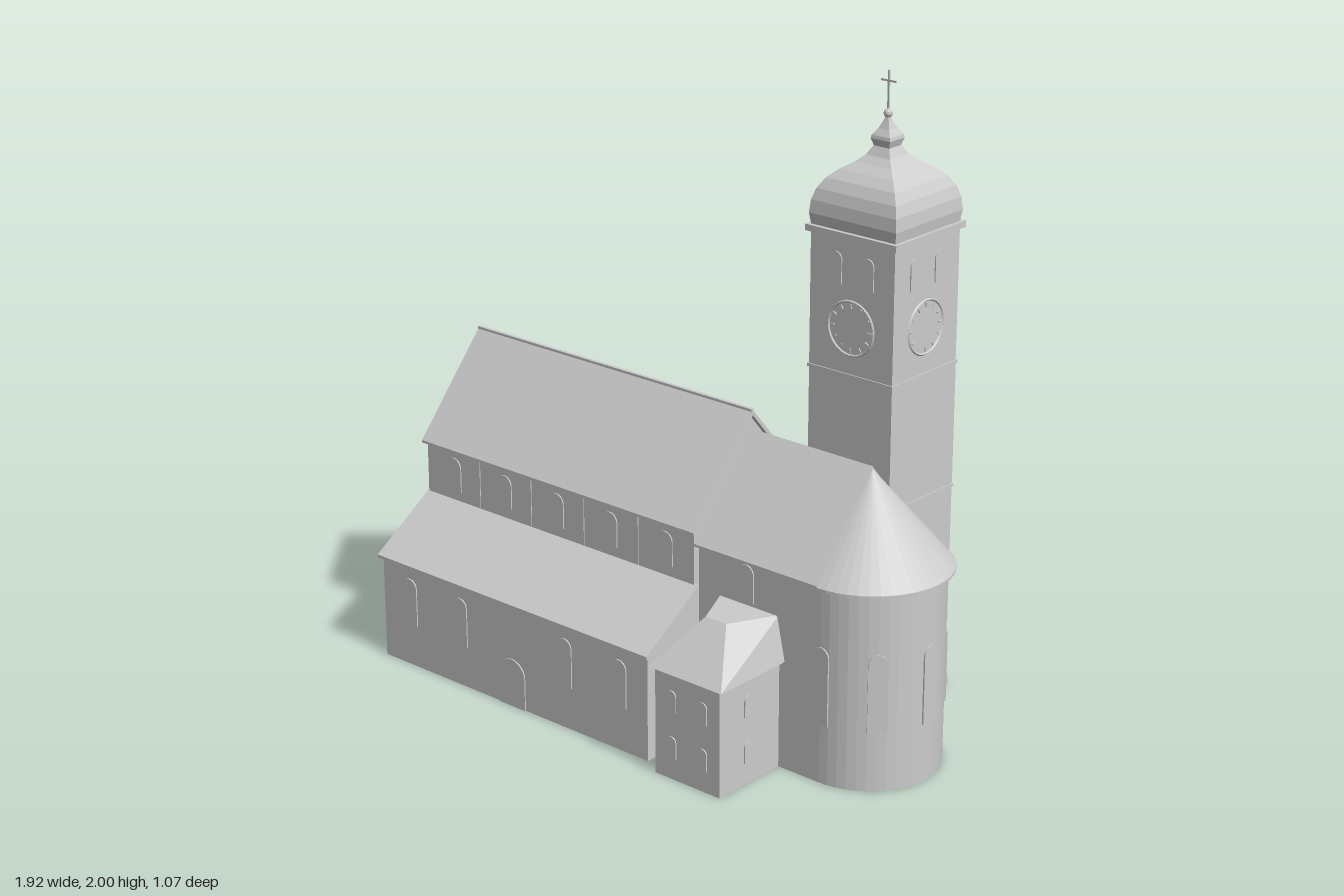
import * as THREE from 'three';

const CZ = 0.02; // z of the church axis
const stone = new THREE.MeshStandardMaterial({ color: 0xcccccc, flatShading: true });
stone.name = 'pale grey';

export function createModel() {
  const root = new THREE.Group();
  root.name = 'church';

  const add = (name, geo, x = 0, y = 0, z = 0, parent = root) => {
    const m = new THREE.Mesh(geo, stone);
    m.name = name;
    m.position.set(x, y, z);
    parent.add(m);
    return m;
  };
  // box given by its centre in x and z and its bottom
  const box = (name, w, h, d, x, y, z, parent) =>
    add(name, new THREE.BoxGeometry(w, h, d), x, y + h / 2, z, parent);
  // cross-section of [z from axis, y] pairs extruded from x0 to x1
  const prism = (name, pts, x0, x1) => {
    const shape = new THREE.Shape(pts.map(([z, y]) => new THREE.Vector2(-z, y)));
    const g = new THREE.ExtrudeGeometry(shape, { depth: x1 - x0, bevelEnabled: false });
    return add(name, g.rotateY(Math.PI / 2), x0, 0, CZ);
  };
  const archShape = (w, h) => {
    const s = new THREE.Shape();
    s.moveTo(-w / 2, 0);
    s.lineTo(w / 2, 0);
    s.lineTo(w / 2, h - w / 2);
    s.absarc(0, h - w / 2, w / 2, 0, Math.PI, false);
    s.closePath();
    return s;
  };
  // thin round-headed plate facing the direction turn (0 = +z)
  const arch = (name, w, h, x, y, z, turn = 0, parent = root) => {
    const g = new THREE.ExtrudeGeometry(archShape(w, h), { depth: 0.008, bevelEnabled: false, curveSegments: 8 });
    const m = add(name, g.translate(0, 0, -0.004), x, y, z, parent);
    m.rotation.y = turn;
    return m;
  };
  const gableRoof = (name, half, eave, ridge, x0, x1, t = 0.018) => prism(name, [
    [-half, eave], [-half, eave - 0.008], [-half + 0.008, eave - 0.008], [0, ridge - t],
    [half - 0.008, eave - 0.008], [half, eave - 0.008], [half, eave], [0, ridge],
  ], x0, x1);

  // nave with gables and lower side aisles
  prism('naveAndAisleWalls', [
    [-0.46, 0], [0.46, 0], [0.46, 0.35], [0.25, 0.495], [0.25, 0.68], [0, 0.985],
    [-0.25, 0.68], [-0.25, 0.495], [-0.46, 0.35],
  ], -0.9, 0.235);
  gableRoof('naveRoof', 0.27, 0.685, 1.0, -0.905, 0.25);
  box('naveRidge', 1.155, 0.008, 0.012, -0.3275, 0.994, CZ);
  for (const s of [-1, 1]) {
    const pts = [[0.245, 0.51], [0.48, 0.355], [0.48, 0.345], [0.465, 0.345], [0.245, 0.49]];
    prism('aisleRoof', pts.map(([z, y]) => [s * z, y]), -0.905, 0.25);
    const turn = s > 0 ? 0 : Math.PI;
    for (let i = 0; i < 5; i++) {
      const x = -0.78 + i * 0.225;
      arch('clerestoryWindow', 0.06, 0.11, x, 0.54, CZ + s * 0.25, turn);
      if (s < 0 || i !== 2) arch('aisleWindow', 0.06, 0.16, x, 0.14, CZ + s * 0.46, turn);
      if (i < 4) box('clerestoryPilaster', 0.008, 0.17, 0.006, x + 0.1125, 0.51, CZ + s * 0.25);
    }
  }
  arch('sideDoor', 0.11, 0.16, -0.33, 0, CZ + 0.46, 0);

  // west front
  const west = -Math.PI / 2;
  arch('westDoor', 0.11, 0.19, -0.9, 0.012, CZ, west);
  for (const s of [-1, 1]) arch('westWindow', 0.06, 0.26, -0.9, 0.34, CZ + s * 0.13, west);
  arch('gableWindow', 0.05, 0.1, -0.9, 0.78, CZ, west);
  box('doorStep', 0.065, 0.01, 0.15, -0.9325, 0, CZ - 0.005);

  // choir and rounded apse
  prism('choirWalls', [[-0.228, 0], [0.228, 0], [0.228, 0.645], [0, 0.92], [-0.228, 0.645]], 0.235, 0.705);
  gableRoof('choirRoof', 0.25, 0.64, 0.938, 0.235, 0.705);
  add('apseWall', new THREE.CylinderGeometry(0.228, 0.228, 0.635, 24, 1, false, 0, Math.PI), 0.705, 0.3175, CZ);
  add('apseRoof', new THREE.CylinderGeometry(0, 0.252, 0.295, 24, 1, false, 0, Math.PI), 0.705, 0.7825, CZ);
  add('apseEave', new THREE.CylinderGeometry(0.252, 0.252, 0.008, 24, 1, false, 0, Math.PI), 0.705, 0.633, CZ);
  for (const a of [-90, -45, 0, 45, 90]) {
    const r = a * Math.PI / 180;
    arch('apseWindow', 0.06, 0.25, 0.705 + 0.227 * Math.cos(r), 0.19, CZ + 0.227 * Math.sin(r), Math.PI / 2 - r);
  }
  arch('choirWindow', 0.06, 0.12, 0.42, 0.5, CZ + 0.228);

  // small sacristy with a hipped, flat-topped roof
  box('sacristyWalls', 0.25, 0.35, 0.29, 0.425, 0, 0.373);
  const c = [
    [0.285, 0.35, 0.24], [0.285, 0.35, 0.535], [0.57, 0.35, 0.535], [0.57, 0.35, 0.24],
    [0.315, 0.49, 0.24], [0.385, 0.49, 0.39], [0.465, 0.49, 0.39], [0.54, 0.49, 0.24],
  ];
  const roof = new THREE.BufferGeometry();
  roof.setAttribute('position', new THREE.Float32BufferAttribute(c.flat(), 3));
  roof.setIndex([1, 2, 6, 1, 6, 5, 2, 3, 7, 2, 7, 6, 0, 1, 5, 0, 5, 4, 4, 5, 6, 4, 6, 7, 0, 3, 2, 0, 2, 1, 0, 4, 7, 0, 7, 3]);
  roof.computeVertexNormals();
  add('sacristyRoof', roof);
  for (const y of [0.07, 0.22]) {
    for (const s of [-1, 1]) {
      arch('sacristyWindow', 0.035, 0.07, 0.425 + s * 0.06, y, 0.518);
      arch('sacristyWindow', 0.035, 0.07, 0.425 + s * 0.125, y, 0.39, s * Math.PI / 2);
    }
  }

  // bell tower
  const tower = new THREE.Group();
  tower.name = 'tower';
  tower.position.set(0.438, 0, -0.365);
  root.add(tower);
  const square = (name, half, y0, y1) => box(name, half * 2, y1 - y0, half * 2, 0, y0, 0, tower);
  square('towerShaft', 0.158, 0, 1.53);
  square('towerPlinth', 0.163, 0, 0.04);
  square('lowerStringCourse', 0.162, 0.68, 0.69);
  square('upperStringCourse', 0.162, 1.085, 1.095);
  square('cornice', 0.171, 1.515, 1.535);
  for (let i = 0; i < 4; i++) {
    const face = new THREE.Group();
    face.name = 'towerFace';
    face.rotation.y = i * Math.PI / 2;
    tower.add(face);
    for (const s of [-1, 1]) arch('belfryWindow', 0.045, 0.1, s * 0.06, 1.37, 0.158, 0, face);
    add('clockRing', new THREE.TorusGeometry(0.085, 0.004, 4, 32), 0, 1.24, 0.158, face);
    for (let k = 0; k < 12; k++) {
      const a = k * Math.PI / 6;
      const tick = add('clockMark', new THREE.BoxGeometry(0.005, 0.014, 0.008),
        0.07 * Math.sin(a), 1.24 + 0.07 * Math.cos(a), 0.158, face);
      tick.rotation.z = -a;
    }
    if (i === 2) {
      for (const s of [-1, 1]) box('panelEdge', 0.02, 0.39, 0.008, s * 0.146, 0.692, 0.158, face);
      for (let k = 0; k < 9; k++) box('friezeTooth', 0.014, 0.02, 0.008, -0.112 + k * 0.028, 1.06, 0.158, face);
    }
    if (i === 1 || i === 2) {
      for (const y of [0.27, 0.47]) arch('towerSlit', 0.02, 0.06, 0, y, 0.158, 0, face);
    }
  }

  // four-sided onion roof and lantern, as [half width, y]
  const lathe = (name, pts) => add(name, new THREE.LatheGeometry(
    pts.map(([h, y]) => new THREE.Vector2(h * Math.SQRT2, y)), 4, Math.PI / 4), 0, 0, 0, tower);
  lathe('onionRoof', [
    [0.158, 1.535], [0.163, 1.57], [0.159, 1.61], [0.148, 1.645], [0.128, 1.677], [0.1, 1.703],
    [0.068, 1.724], [0.045, 1.745], [0.03, 1.772], [0, 1.772],
  ]);
  lathe('lantern', [
    [0, 1.768], [0.028, 1.77], [0.036, 1.795], [0.034, 1.805], [0.02, 1.825], [0.011, 1.845], [0.005, 1.862], [0, 1.862],
  ]);
  add('finialBall', new THREE.SphereGeometry(0.014, 12, 8), 0, 1.87, 0, tower);
  box('crossPost', 0.006, 0.125, 0.005, 0, 1.875, 0, tower);
  box('crossBar', 0.056, 0.006, 0.005, 0, 1.965, 0, tower);

  return root;
}
